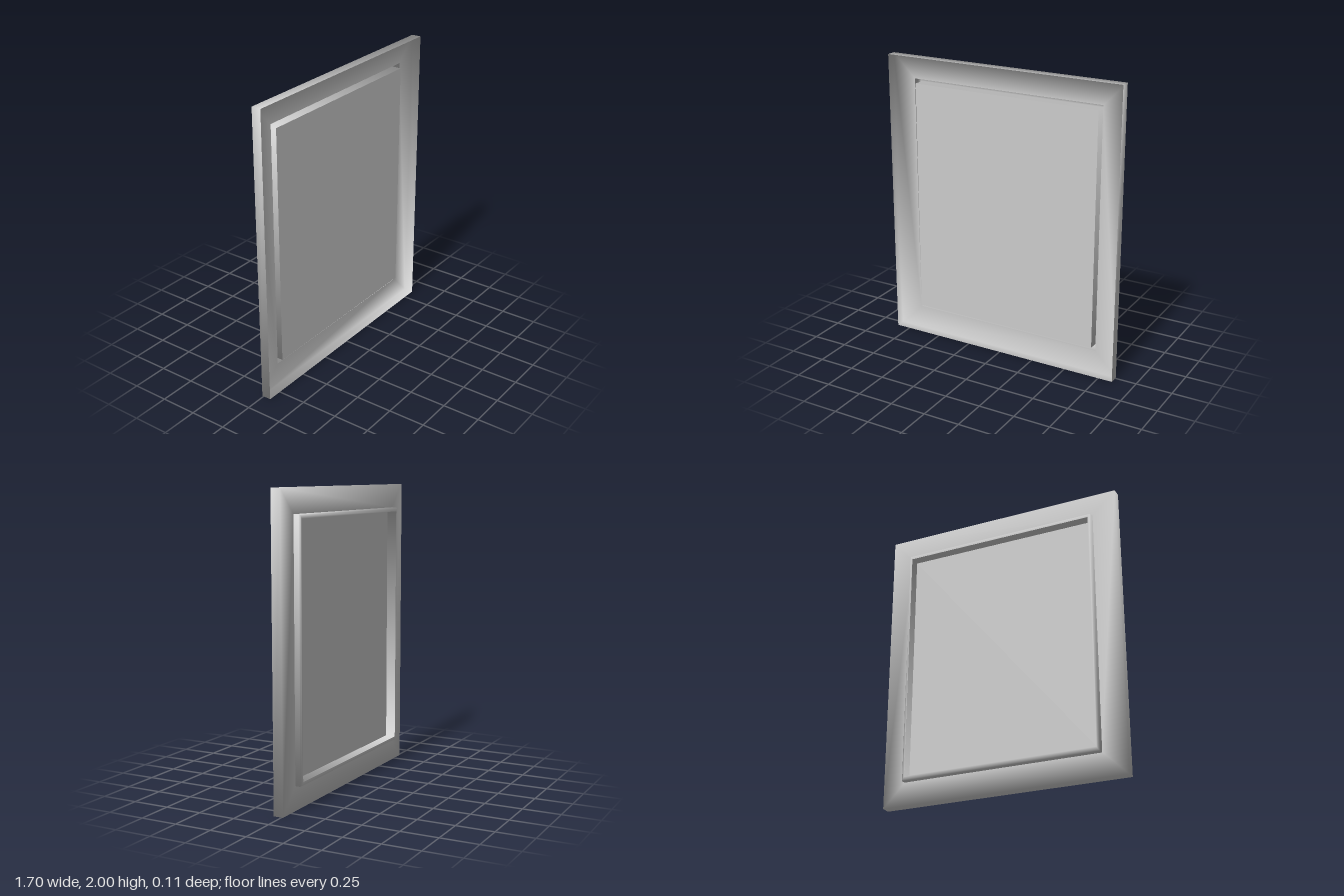
import * as THREE from 'three';

const material = new THREE.MeshStandardMaterial({ color: 0xcccccc, side: THREE.DoubleSide });
const CORNERS = [[1, -1], [1, 1], [-1, 1], [-1, -1]];

// Joins rectangular rings [halfWidth, halfHeight, z, centreX] into one smooth sheet,
// averaging the normals of neighbouring bands and of the sides at each corner.
function sheet(name, rings) {
  const slopes = rings.slice(1).map((b, i) => {
    const a = rings[i];
    return new THREE.Vector2(b[2] - a[2], a[0] - b[0]).normalize();
  });
  const position = [], normal = [], index = [];
  rings.forEach(([w, h, z, cx], i) => {
    const n = new THREE.Vector2();
    if (i > 0) n.add(slopes[i - 1]);
    if (i < slopes.length) n.add(slopes[i]);
    CORNERS.forEach(([sx, sy], k) => {
      position.push(cx + sx * w, 1 + sy * h, z);
      normal.push(...new THREE.Vector3(sx * n.x, sy * n.x, n.y).normalize().toArray());
      if (i === slopes.length) return;
      const a = i * 4 + k, b = i * 4 + (k + 1) % 4;
      index.push(a, b, b + 4, a, b + 4, a + 4);
    });
  });
  const geometry = new THREE.BufferGeometry();
  geometry.setAttribute('position', new THREE.Float32BufferAttribute(position, 3));
  geometry.setAttribute('normal', new THREE.Float32BufferAttribute(normal, 3));
  geometry.setIndex(index);
  const mesh = new THREE.Mesh(geometry, material);
  mesh.name = name;
  return mesh;
}

export function createModel() {
  const group = new THREE.Group();
  group.name = 'framedPanel';
  const cx = 0.005, front = 0.055, back = -0.055, face = -0.01, panelZ = 0.014;

  // Border with a lip that turns forward along its outer edge
  group.add(sheet('border', [
    [0.85, 1, front, 0],
    [0.85, 1, face, 0],
    [0.69, 0.84, face, cx],
  ]));

  // Groove around the panel, which stands out as a ridge at the back
  group.add(sheet('groove', [
    [0.69, 0.84, face, cx],
    [0.69, 0.84, -0.045, cx],
    [0.682, 0.832, back, cx],
    [0.67, 0.813, back, cx],
  ]));

  // Inner wall rising from the groove to the panel
  group.add(sheet('grooveInnerWall', [
    [0.67, 0.813, back, cx],
    [0.67, 0.813, panelZ, cx],
  ]));

  // Flat centre panel
  const panel = new THREE.Mesh(new THREE.PlaneGeometry(1.34, 1.626), material);
  panel.name = 'panel';
  panel.position.set(cx, 1, panelZ);
  group.add(panel);

  return group;
}
